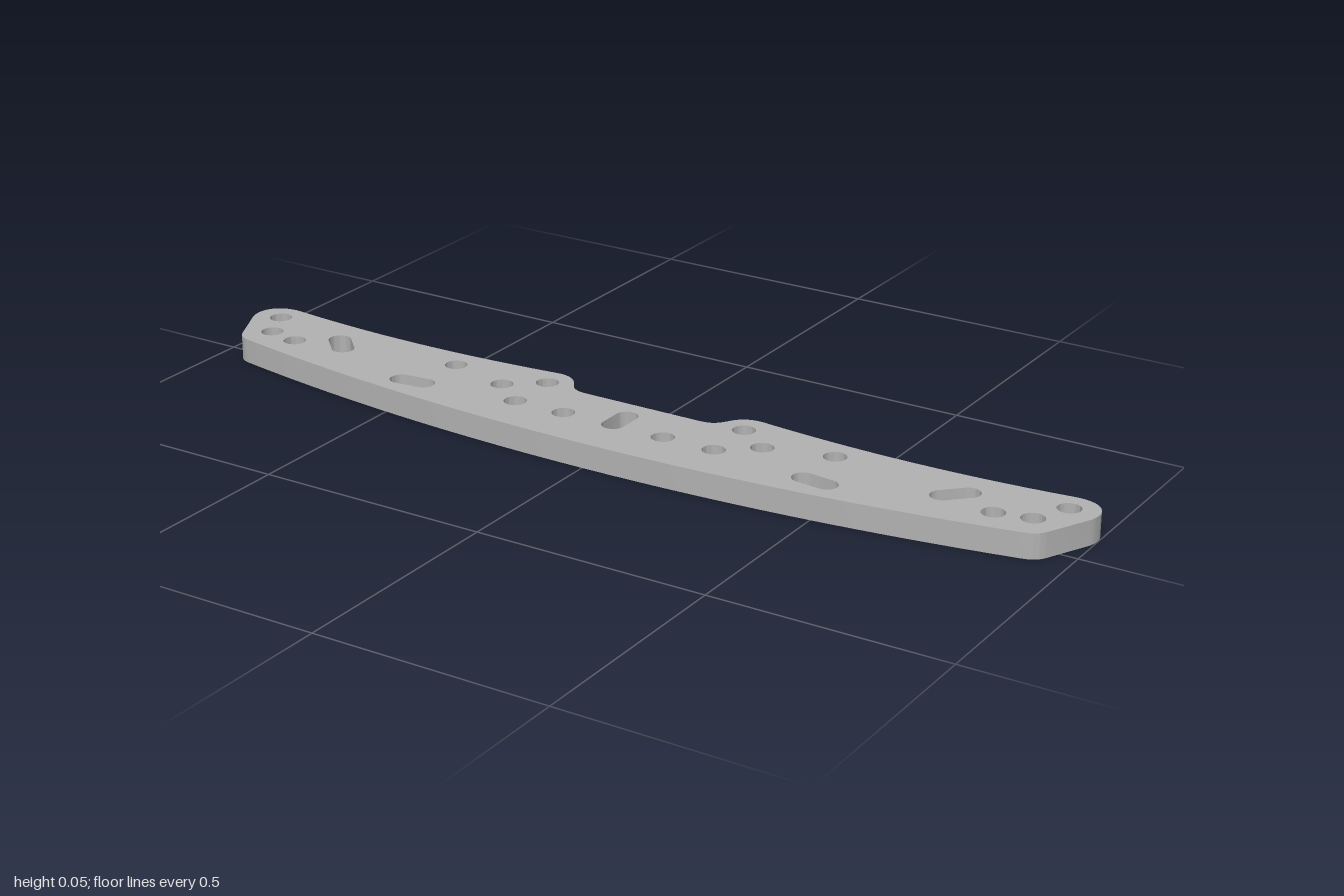
import * as THREE from 'three';
import { toCreasedNormals } from 'three/addons/utils/BufferGeometryUtils.js';

const THICKNESS = 0.053;
const HOLE_R = 0.024;

// Stadium-shaped slot between two end centres (a round hole when they coincide)
function slot(x1, z1, x2 = x1, z2 = z1) {
  const a = Math.atan2(z2 - z1, x2 - x1);
  const path = new THREE.Path();
  path.absarc(x2, z2, HOLE_R, a - Math.PI / 2, a + Math.PI / 2, false);
  path.absarc(x1, z1, HOLE_R, a + Math.PI / 2, a + Math.PI * 1.5, false);
  return path;
}

// One half of the plate edge, from the middle of the front to the middle of the back notch
function halfOutline() {
  const p = new THREE.Path();
  p.moveTo(0, 0.142);
  p.quadraticCurveTo(0.47, 0.142, 0.915, 0.054);      // bowed front edge
  p.quadraticCurveTo(0.938, 0.049, 0.948, 0.03);      // front corner
  p.lineTo(0.993, -0.062);                            // slanted end
  p.bezierCurveTo(1.012, -0.105, 0.985, -0.15, 0.925, -0.143); // rounded tip
  p.quadraticCurveTo(0.6, -0.104, 0.26, -0.141);      // hollow back edge
  p.bezierCurveTo(0.225, -0.147, 0.203, -0.138, 0.188, -0.115); // notch shoulder
  p.bezierCurveTo(0.175, -0.092, 0.165, -0.08, 0.135, -0.08);   // notch fillet
  p.lineTo(0, -0.08);
  return p.getPoints(14);
}

export function createModel() {
  const group = new THREE.Group();
  const metal = new THREE.MeshStandardMaterial({ color: 0xb2b2b2 });
  metal.name = 'grey metal';

  const half = halfOutline();
  const mirrored = half.slice(1, -1).reverse().map((p) => new THREE.Vector2(-p.x, p.y));
  const shape = new THREE.Shape([...half, ...mirrored]);

  // Holes and slots on one side, repeated on the other
  const openings = [
    [0.118, 0.03], [0.235, 0.03], [0.31, -0.03], [0.235, -0.087], [0.452, -0.067],
    [0.826, 0.003], [0.9, -0.013], [0.938, -0.09],
    [0.449, 0.053, 0.502, 0.059], [0.71, -0.015, 0.748, -0.053],
  ];
  shape.holes.push(slot(0, -0.022, 0, 0.028));
  for (const [x1, z1, x2 = x1, z2 = z1] of openings) {
    for (const s of [1, -1]) shape.holes.push(slot(s * x1, z1, s * x2, z2));
  }

  const extruded = new THREE.ExtrudeGeometry(shape, {
    depth: THICKNESS, bevelEnabled: false, curveSegments: 10,
  });
  extruded.rotateX(Math.PI / 2).translate(0, THICKNESS, 0);
  extruded.clearGroups();
  const plate = new THREE.Mesh(toCreasedNormals(extruded, 0.7), metal);
  plate.name = 'mountingPlate';
  group.add(plate);
  return group;
}
